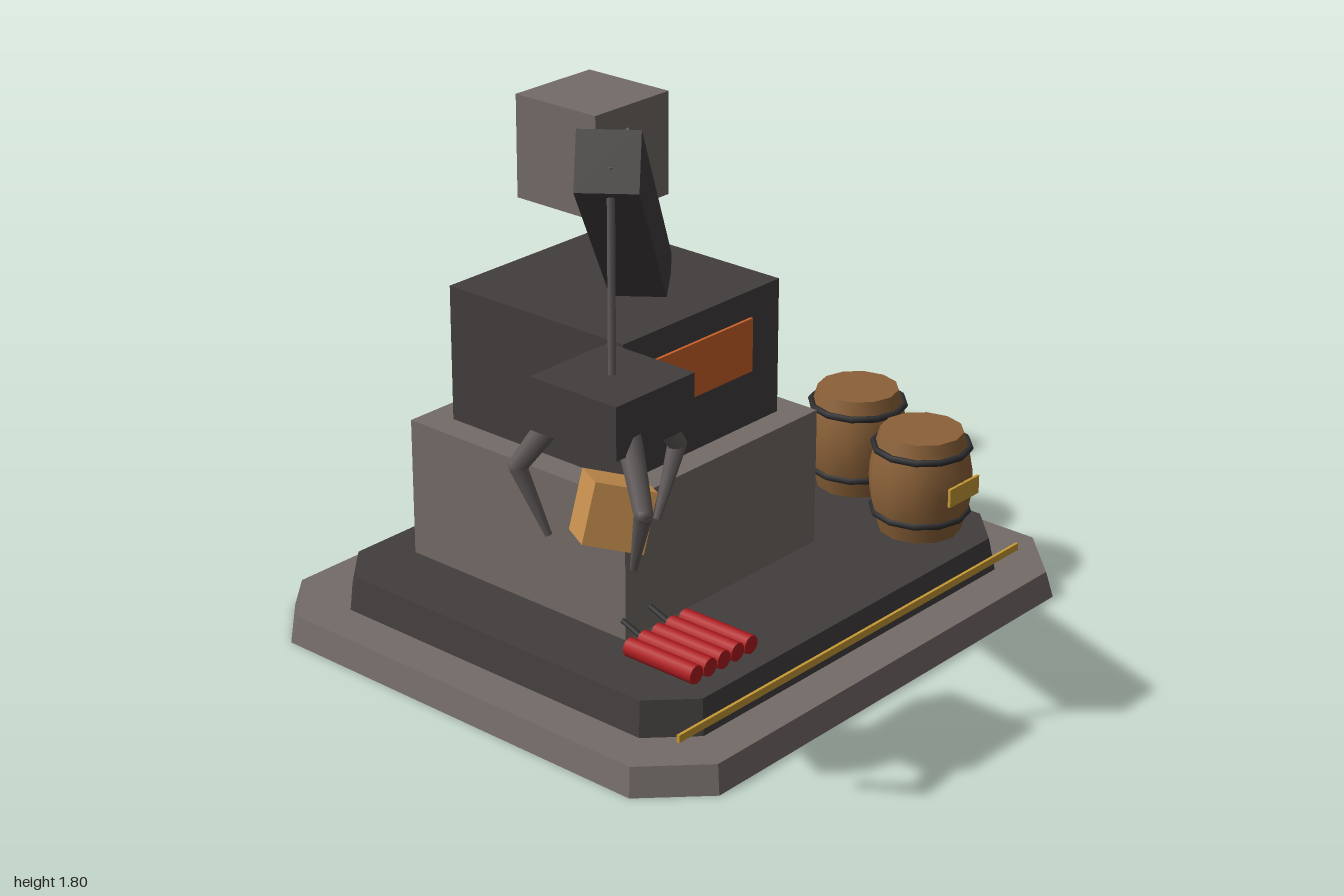
import * as THREE from 'three';
import { toCreasedNormals } from 'three/addons/utils/BufferGeometryUtils.js';

const mat = (name, color) => {
  const m = new THREE.MeshStandardMaterial({ color });
  m.name = name;
  return m;
};

export function createModel() {
  const stone = mat('warm grey', 0x746b68);
  const iron = mat('dark grey', 0x423e3d);
  const steel = mat('claw grey', 0x625c5b);
  const hoopMat = mat('hoop black', 0x2e2e30);
  const wood = mat('barrel brown', 0x8c6239);
  const crateMat = mat('crate tan', 0xc68e4e);
  const red = mat('red', 0xb01c20);
  const orange = mat('orange', 0xcc6228);
  const gold = mat('gold', 0xc79a35);

  const root = new THREE.Group();
  const add = (name, geo, material, pos = [0, 0, 0], parent = root) => {
    const m = new THREE.Mesh(geo, material);
    m.name = name;
    m.position.set(...pos);
    parent.add(m);
    return m;
  };
  const box = (name, size, pos, material, parent) =>
    add(name, new THREE.BoxGeometry(...size), material, pos, parent);

  // Slab with cut corners whose top is slightly smaller than its foot
  const slab = (hx, hz, cut, h, inset) => {
    const s = new THREE.Shape([
      [-hx + cut, -hz], [hx - cut, -hz], [hx, -hz + cut], [hx, hz - cut],
      [hx - cut, hz], [-hx + cut, hz], [-hx, hz - cut], [-hx, -hz + cut],
    ].map(([x, y]) => new THREE.Vector2(x, y)));
    const g = new THREE.ExtrudeGeometry(s, { depth: h, bevelEnabled: false });
    g.rotateX(-Math.PI / 2);
    const p = g.attributes.position;
    for (let i = 0; i < p.count; i++) {
      if (p.getY(i) > h / 2) {
        p.setX(i, p.getX(i) * (1 - inset / hx));
        p.setZ(i, p.getZ(i) * (1 - inset / hz));
      }
    }
    g.computeVertexNormals();
    return g;
  };

  // Square beam between two points
  const beam = (name, a, b, w, material) => {
    const A = new THREE.Vector3(...a), B = new THREE.Vector3(...b);
    const m = box(name, [w, w, A.distanceTo(B)], A.clone().lerp(B, 0.5).toArray(), material);
    m.lookAt(B);
    return m;
  };

  // Round rod between two points, with a radius at each end
  const rod = (name, a, b, ra, rb, material, parent, sides = 8) => {
    const A = new THREE.Vector3(...a), B = new THREE.Vector3(...b);
    const m = add(name, new THREE.CylinderGeometry(rb, ra, A.distanceTo(B), sides),
      material, A.clone().lerp(B, 0.5).toArray(), parent);
    m.quaternion.setFromUnitVectors(new THREE.Vector3(0, 1, 0), B.sub(A).normalize());
    return m;
  };

  // Platform
  add('basePlate', slab(0.915, 0.81, 0.165, 0.08, 0.018), stone, [0.08, 0, -0.02]);
  add('upperPlate', slab(0.77, 0.67, 0.12, 0.1, 0.016), iron, [0.08, 0.08, -0.02]);
  box('goldStripe', [1.51, 0.022, 0.009], [0.08, 0.117, 0.652], gold);

  // Tower
  box('pedestal', [0.815, 0.415, 0.815], [-0.042, 0.3875, -0.142], stone);
  box('turret', [0.65, 0.405, 0.65], [-0.04, 0.7975, -0.14], iron);
  box('orangePanel', [0.41, 0.16, 0.009], [-0.043, 0.84, 0.19], orange);

  // Boom, rear arm and counterweight
  beam('boom', [0.06, 0.98, -0.125], [-0.86, 1.7325, 0.588], 0.157, iron);
  beam('counterArm', [0.077, 0.92, -0.13], [0.408, 1.212, -0.6], 0.135, stone);
  box('counterweight', [0.322, 0.325, 0.32], [0.446, 1.1625, -0.67], stone);

  // Grabber: cable, head, three bent claws and the held crate
  const grabber = new THREE.Group();
  grabber.name = 'grabber';
  grabber.position.set(-0.857, 0, 0.595);
  root.add(grabber);
  rod('cable', [0, 1.15, 0], [0, 1.72, 0], 0.01, 0.01, steel, grabber);
  box('grabberHead', [0.285, 0.142, 0.285], [0, 1.115, 0], iron, grabber);
  for (let i = 0; i < 3; i++) {
    const claw = new THREE.Group();
    claw.name = 'claw' + (i + 1);
    claw.rotation.y = i * Math.PI * 2 / 3;
    grabber.add(claw);
    rod('clawUpper', [0.125, 1.085, 0], [0.242, 0.92, 0], 0.034, 0.025, steel, claw);
    add('clawElbow', new THREE.SphereGeometry(0.025, 8, 6), steel, [0.242, 0.92, 0], claw);
    rod('clawLower', [0.242, 0.92, 0], [0.165, 0.737, 0], 0.025, 0.01, steel, claw);
  }
  const crate = box('crate', [0.16, 0.16, 0.16], [0, 0.818, 0], crateMat, grabber);
  crate.rotation.set(0, -0.64, -0.33, 'ZYX');

  // Barrels with two hoops and a gold plate
  const profile = [[0, 0], [0.122, 0], [0.14, 0.062], [0.15, 0.115], [0.152, 0.155],
    [0.15, 0.195], [0.14, 0.248], [0.122, 0.31], [0, 0.31]]
    .map(([x, y]) => new THREE.Vector2(x, y));
  const barrelGeo = toCreasedNormals(new THREE.LatheGeometry(profile, 12), 0.65);
  const hoopGeo = new THREE.TorusGeometry(0.141, 0.01, 6, 12);
  hoopGeo.rotateX(Math.PI / 2);
  for (const [x, z] of [[0.65, 0.43], [0.772, 0.1]]) {
    const barrel = new THREE.Group();
    barrel.name = 'barrel';
    barrel.position.set(x, 0.18, z);
    root.add(barrel);
    add('barrelBody', barrelGeo, wood, [0, 0, 0], barrel);
    for (const y of [0.062, 0.262]) add('hoop', hoopGeo, hoopMat, [0, y, 0], barrel);
    box('barrelPlate', [0.138, 0.056, 0.009], [0.002, 0.158, 0.153], gold, barrel);
  }

  // Row of red sticks, two with short fuses at the back
  for (let i = 0; i < 5; i++) {
    const x = -0.528 + i * 0.056;
    rod('redStick', [x, 0.222, 0.35], [x, 0.222, 0.588], 0.027, 0.027, red, root, 10);
    if (i % 2) rod('fuse', [x, 0.225, 0.35], [x, 0.253, 0.275], 0.008, 0.008, hoopMat, root, 6);
  }
  return root;
}
